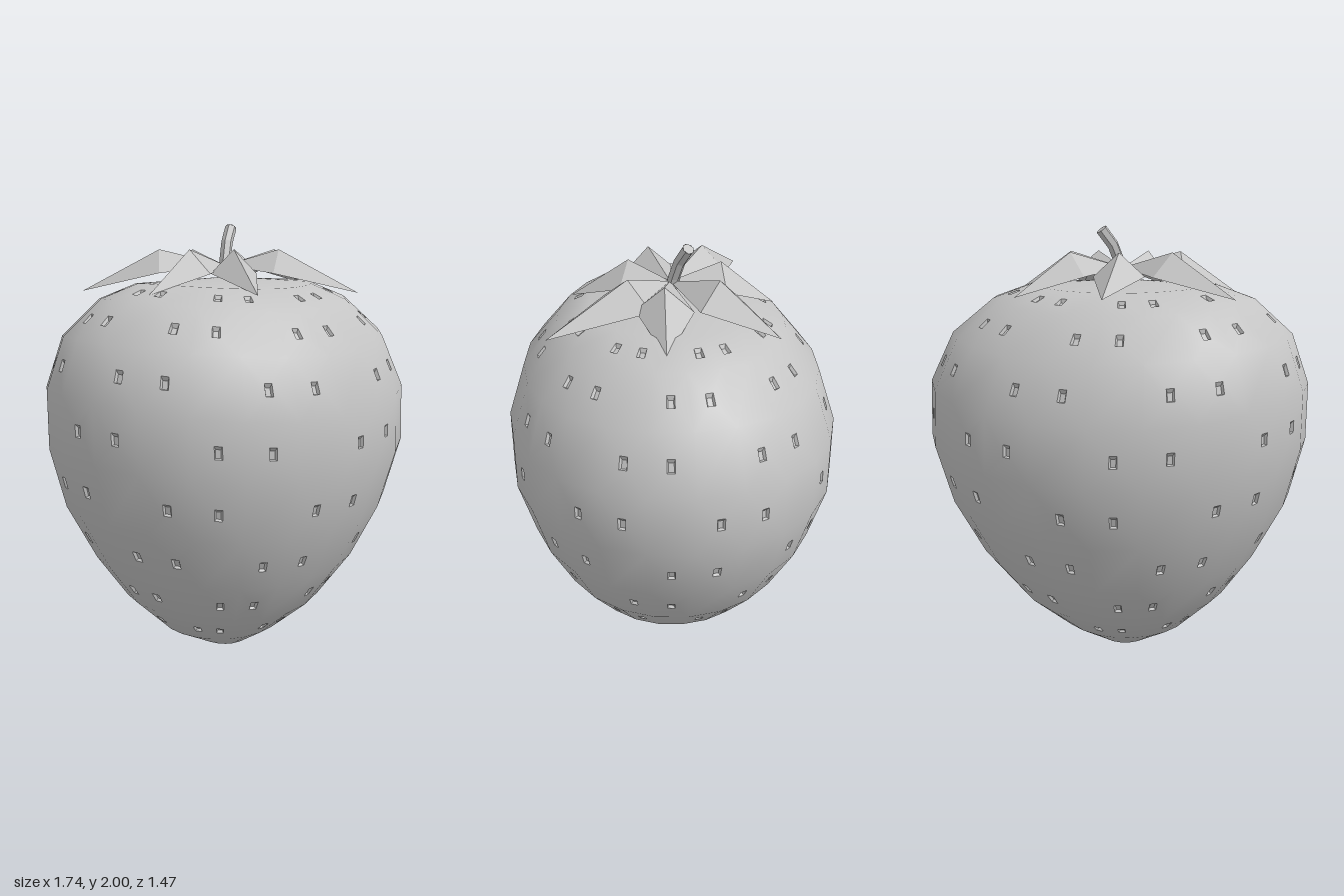
import * as THREE from 'three';

const SIDES = 24;
// height, extra height at the wide sides, centre x, half width, half depth
const RINGS = [
  [0, 0, -0.05, 0, 0],
  [0.03, 0.02, -0.045, 0.155, 0.13],
  [0.13, 0.015, -0.04, 0.32, 0.27],
  [0.28, 0.05, -0.025, 0.515, 0.43],
  [0.49, 0.05, -0.01, 0.67, 0.565],
  [0.725, 0.075, -0.005, 0.805, 0.67],
  [0.985, 0.08, 0, 0.872, 0.735],
  [1.24, 0.08, -0.005, 0.865, 0.728],
  [1.475, 0.065, -0.02, 0.77, 0.645],
  [1.65, 0.04, -0.03, 0.59, 0.495],
  [1.73, 0.02, -0.03, 0.42, 0.35],
  [1.77, 0, -0.03, 0, 0],
];
const TOP = RINGS.length - 1;

function gridPoint(i, j) {
  const [y, rise, cx, rx, rz] = RINGS[j];
  const a = (i / SIDES) * Math.PI * 2;
  const s = Math.sin(a);
  return new THREE.Vector3(cx + rx * s, y + rise * s * s, rz * Math.cos(a));
}

function gridNormal(i, j) {
  if (j === 0 || j === TOP) return new THREE.Vector3(0, j ? 1 : -1, 0);
  const du = gridPoint(i + 1, j).sub(gridPoint(i - 1, j));
  const dv = gridPoint(i, j + 1).sub(gridPoint(i, j - 1));
  return du.cross(dv).normalize();
}

// Collects quads, with given corner normals or one flat normal
class QuadList {
  positions = [];
  normals = [];
  add(corners, normals) {
    const flat = corners[2].clone().sub(corners[0]).cross(corners[3].clone().sub(corners[1])).normalize();
    for (const k of [0, 1, 2, 0, 2, 3]) {
      this.positions.push(...corners[k].toArray());
      this.normals.push(...(normals ? normals[k] : flat).toArray());
    }
  }
  build() {
    const g = new THREE.BufferGeometry();
    g.setAttribute('position', new THREE.Float32BufferAttribute(this.positions, 3));
    g.setAttribute('normal', new THREE.Float32BufferAttribute(this.normals, 3));
    return g;
  }
}

function bilinear([a, b, c, d], u, v) {
  return a.clone().lerp(b, u).lerp(d.clone().lerp(c, u), v);
}

// Seeds come in pairs, three cells apart, stepping sideways from row to row
function hasSeed(i, j) {
  if (j < 2 || j > 9) return false;
  const shift = [0, 1, -1][(j - 2) % 3];
  const k = (i - shift + SIDES * 2) % 3;
  return k === 0 || k === 2;
}

function buildFruit() {
  const skin = new QuadList();
  const pits = new QuadList();
  const unit = [[0, 0], [1, 0], [1, 1], [0, 1]];
  for (let j = 0; j < TOP; j++) {
    for (let i = 0; i < SIDES; i++) {
      const P = unit.map(([u, v]) => gridPoint(i + u, j + v));
      const N = unit.map(([u, v]) => gridNormal(i + u, j + v));
      if (!hasSeed(i, j)) {
        skin.add(P, N);
        continue;
      }
      // Cut a small rectangle into the cell and sink its floor
      const width = (P[0].distanceTo(P[1]) + P[2].distanceTo(P[3])) / 2;
      const height = (P[0].distanceTo(P[3]) + P[1].distanceTo(P[2])) / 2;
      const hu = 0.016 / width;
      const hv = Math.min(0.026 / height, 0.14);
      const rim = unit.map(([u, v]) => [0.5 + (u * 2 - 1) * hu, 0.5 + (v * 2 - 1) * hv]);
      const floorUV = unit.map(([u, v]) => [0.5 + (u * 2 - 1) * hu * 0.65, 0.5 + ((v * 2 - 1) * 0.65 - 0.2) * hv]);
      const rimP = rim.map(([u, v]) => bilinear(P, u, v));
      const rimN = rim.map(([u, v]) => bilinear(N, u, v).normalize());
      const inward = bilinear(N, 0.5, 0.5).normalize().multiplyScalar(-0.012);
      const floorP = floorUV.map(([u, v]) => bilinear(P, u, v).add(inward));
      for (let k = 0; k < 4; k++) {
        const n = (k + 1) % 4;
        skin.add([P[k], P[n], rimP[n], rimP[k]], [N[k], N[n], rimN[n], rimN[k]]);
        pits.add([rimP[k], rimP[n], floorP[n], floorP[k]]);
      }
      pits.add(floorP);
    }
  }
  return [skin.build(), pits.build()];
}

// Folded leaf: hub, two low sides, a raised peak and a drooping tip
function leafGeometry(peakX, peakZ, tipX, tipZ, halfWidth) {
  const hub = new THREE.Vector3(-0.03, 1.82, 0);
  const peak = new THREE.Vector3(peakX, 1.89, peakZ);
  const tip = new THREE.Vector3(tipX, 1.71, tipZ);
  const out = new THREE.Vector3(peakX + 0.03, 0, peakZ).normalize();
  const side = new THREE.Vector3(out.z, 0, -out.x).multiplyScalar(halfWidth);
  const mid = peak.clone().setY(1.79);
  const left = mid.clone().add(side);
  const right = mid.clone().sub(side);
  const g = new THREE.BufferGeometry().setFromPoints([
    hub, peak, left, left, peak, tip, tip, peak, right, right, peak, hub,
  ]);
  // Turn the faces upward
  const p = g.attributes.position;
  g.computeVertexNormals();
  if (g.attributes.normal.getY(0) < 0) {
    for (let t = 0; t < p.count; t += 3) {
      const a = [p.getX(t), p.getY(t), p.getZ(t)];
      p.setXYZ(t, p.getX(t + 1), p.getY(t + 1), p.getZ(t + 1));
      p.setXYZ(t + 1, ...a);
    }
    g.computeVertexNormals();
  }
  return g;
}

export function createModel() {
  const model = new THREE.Group();
  const grey = new THREE.MeshStandardMaterial({ color: 0xc4c4c4, side: THREE.DoubleSide });
  grey.name = 'plain grey';
  const add = (name, geometry) => {
    const mesh = new THREE.Mesh(geometry, grey);
    mesh.name = name;
    model.add(mesh);
    return mesh;
  };

  // Fruit body and its sunken seeds
  const [skin, pits] = buildFruit();
  add('fruitBody', skin);
  add('seeds', pits);

  // Leaves: peak x, z, tip x, z, half width
  const leaves = [
    [-0.05, -0.22, -0.02, -0.45, 0.11],
    [0.17, -0.18, 0.36, -0.4, 0.12],
    [0.22, 0.05, 0.48, 0.07, 0.12],
    [0.12, 0.19, 0.27, 0.53, 0.14],
    [-0.12, 0.17, -0.2, 0.42, 0.1],
    [-0.28, 0.07, -0.53, 0.13, 0.11],
    [-0.27, -0.17, -0.55, -0.37, 0.12],
  ];
  leaves.forEach((leaf, i) => add('leaf' + (i + 1), leafGeometry(...leaf)));

  // Bent stem with a cut end
  const path = new THREE.CatmullRomCurve3([
    new THREE.Vector3(-0.035, 1.76, 0),
    new THREE.Vector3(0, 1.9, -0.03),
    new THREE.Vector3(0.055, 1.985, -0.065),
  ]);
  const tube = new THREE.TubeGeometry(path, 3, 0.026, 6).toNonIndexed();
  tube.computeVertexNormals();
  add('stem', tube);
  const cut = add('stemEnd', new THREE.CircleGeometry(0.026, 6));
  cut.position.copy(path.getPoint(1));
  cut.lookAt(path.getPoint(1).add(path.getTangent(1)));

  return model;
}
